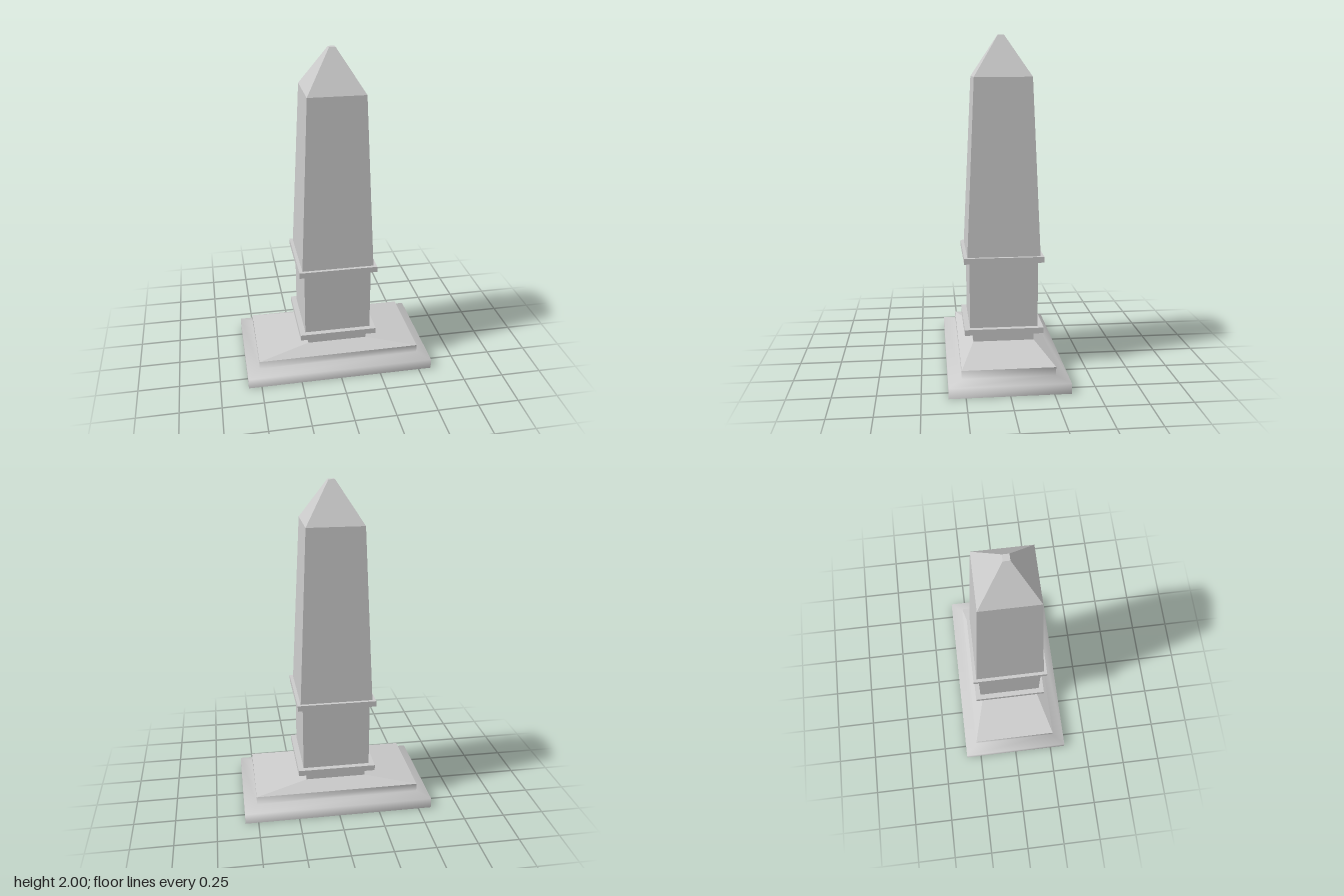
import * as THREE from 'three';

const material = new THREE.MeshStandardMaterial({ color: 0xcccccc, side: THREE.DoubleSide });

// Skins rectangular rings [halfX, y, halfZ], listed from bottom to top.
function loft(name, rings, { smooth = false, capped = false } = {}) {
  const positions = [];
  const index = [];
  for (const [x, y, z = x] of rings) positions.push(-x, y, z, x, y, z, x, y, -z, -x, y, -z);
  for (let r = 0; r < rings.length - 1; r++) {
    for (let i = 0; i < 4; i++) {
      const a = r * 4 + i;
      const b = r * 4 + (i + 1) % 4;
      index.push(a, b, b + 4, a, b + 4, a + 4);
    }
  }
  if (capped) {
    const t = (rings.length - 1) * 4;
    index.push(t, t + 1, t + 2, t, t + 2, t + 3);
  }
  let geometry = new THREE.BufferGeometry();
  geometry.setAttribute('position', new THREE.Float32BufferAttribute(positions, 3));
  geometry.setIndex(index);
  if (!smooth) geometry = geometry.toNonIndexed();
  geometry.computeVertexNormals();
  const mesh = new THREE.Mesh(geometry, material);
  mesh.name = name;
  return mesh;
}

export function createModel() {
  const model = new THREE.Group();
  model.name = 'obelisk';

  const neck = 0.185;
  const shaft = 0.205;
  const collar = 0.238;
  const spire = 0.218;

  model.add(
    // Hollow stepped base, open underneath, with softly shaded sides
    loft('base', [[0.58, 0, 0.347], [0.58, 0.063, 0.347], [0.503, 0.08, 0.27], [0.503, 0.13, 0.27]], { smooth: true }),
    // Sloping top of the base
    loft('baseSlope', [[0.503, 0.13, 0.27], [neck, 0.176]]),
    // Pedestal between two projecting collars
    loft('neck', [[neck, 0.176], [neck, 0.235]]),
    loft('lowerCollar', [[neck, 0.235], [collar, 0.235], [collar, 0.27], [shaft, 0.27]]),
    loft('pedestal', [[shaft, 0.27], [shaft, 0.675]]),
    loft('upperCollar', [[shaft, 0.675], [collar, 0.675], [collar, 0.71], [spire, 0.71]]),
    // Tapering spire with a blunt pyramid on top
    loft('spire', [[spire, 0.71], [0.17, 1.76]]),
    loft('pyramidTip', [[0.17, 1.76], [0.019, 2]], { capped: true }),
  );
  return model;
}
